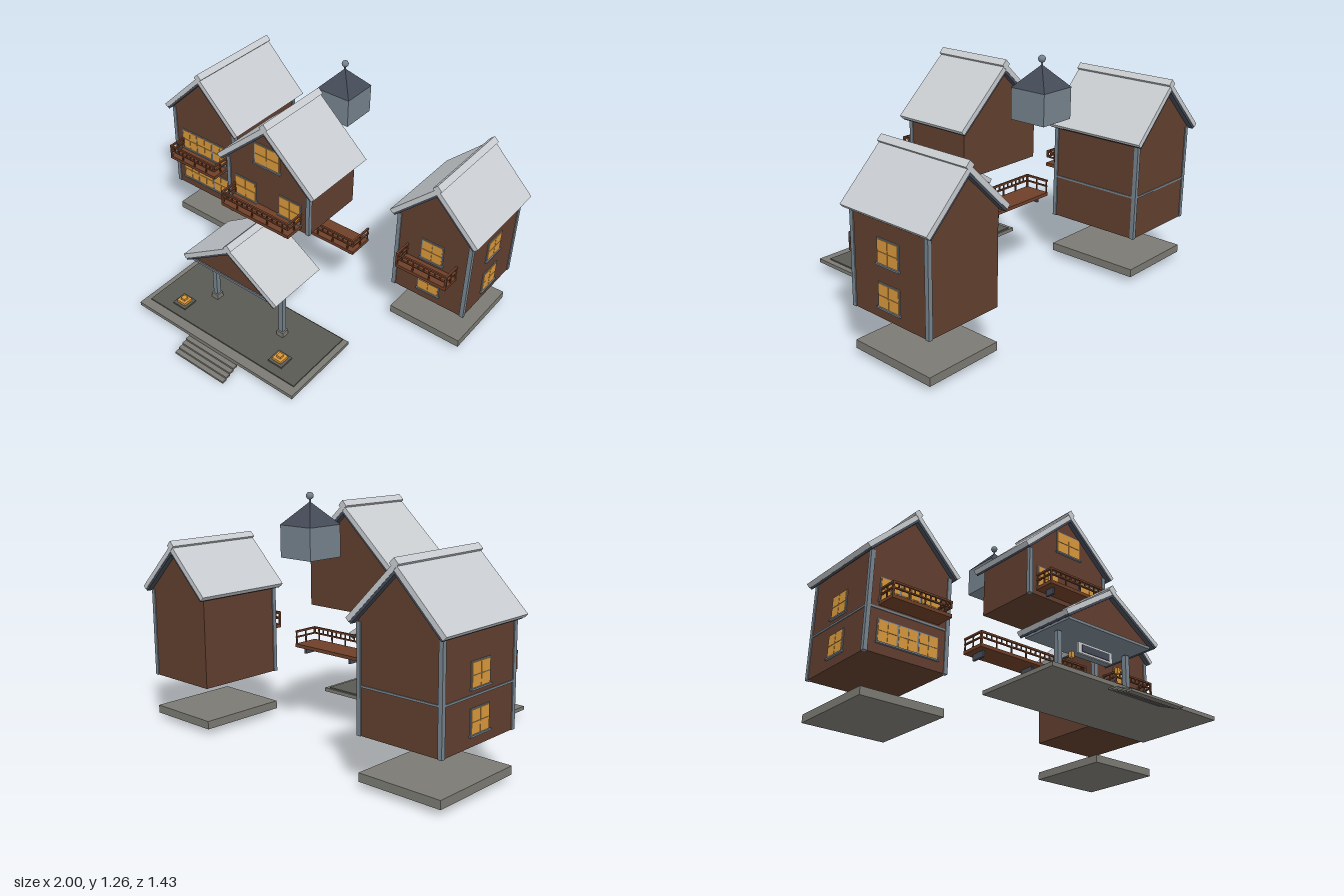
import * as THREE from 'three';

const mat = (name, color) => new THREE.MeshStandardMaterial({ name, color });
const M = {
  wall: mat('brown timber wall', 0x613f2f),
  wood: mat('balcony wood', 0x6e3f28),
  roof: mat('pale roof', 0xc9cdd1),
  trim: mat('blue grey trim', 0x76838e),
  slate: mat('dark slate', 0x444a57),
  stone: mat('stone', 0x7b7a73),
  deck: mat('dark paving', 0x595a53),
  glow: mat('amber glass', 0xd9983c),
};

function add(parent, name, geometry, material, x = 0, y = 0, z = 0) {
  const mesh = new THREE.Mesh(geometry, material);
  mesh.name = name;
  mesh.position.set(x, y, z);
  parent.add(mesh);
  return mesh;
}

// Box given by its extents
const span = (p, name, m, x0, x1, y0, y1, z0, z1) =>
  add(p, name, new THREE.BoxGeometry(x1 - x0, y1 - y0, z1 - z0), m, (x0 + x1) / 2, (y0 + y1) / 2, (z0 + z1) / 2);

function group(parent, name, x = 0, y = 0, z = 0) {
  const g = new THREE.Group();
  g.name = name;
  g.position.set(x, y, z);
  parent.add(g);
  return g;
}

// Outline in x and y, extruded from z0 to z1
function extrude(p, name, m, points, z0, z1) {
  const shape = new THREE.Shape(points.map(([x, y]) => new THREE.Vector2(x, y)));
  return add(p, name, new THREE.ExtrudeGeometry(shape, { depth: z1 - z0, bevelEnabled: false }), m, 0, 0, z0);
}

// Two-layer gable roof with a diamond ridge cap; returns the underside height at x
function gableRoof(p, ridge, dx, eave, z0, z1) {
  const a = Math.atan2(ridge - eave, dx);
  const layer = (name, m, t0, t1, inset) => {
    const tip = (t, s) => [s * (dx - t * Math.sin(a) - inset), eave - t * Math.cos(a) + inset * Math.tan(a)];
    const top = t => [0, ridge - t / Math.cos(a)];
    extrude(p, name, m, [tip(t0, 1), top(t0), tip(t0, -1), tip(t1, -1), top(t1), tip(t1, 1)], z0 + inset, z1 - inset);
  };
  layer('roofCovering', M.roof, 0, 0.024, 0);
  layer('roofUnderlay', M.slate, 0.024, 0.036, 0.002);
  add(p, 'ridgeCap', new THREE.BoxGeometry(0.036, 0.036, z1 - z0 + 0.004), M.roof, 0, ridge - 0.006, (z0 + z1) / 2).rotation.z = Math.PI / 4;
  return x => ridge - 0.035 / Math.cos(a) - Math.abs(x) * Math.tan(a);
}

// Window facing +z, two by two panes per unit, with sill
function windowUnit(p, x, y, z, w, h, units = 1, turn = 0) {
  const g = group(p, 'window', x, y, z);
  g.rotation.y = turn;
  add(g, 'windowFrame', new THREE.BoxGeometry(w, h, 0.008), M.trim);
  add(g, 'windowSill', new THREE.BoxGeometry(w + 0.012, 0.008, 0.024), M.trim, 0, -h / 2, 0);
  const uw = w / units, pw = uw / 2 - 0.007, ph = h / 2 - 0.007;
  for (let u = 0; u < units; u++)
    for (const sx of [-1, 1])
      for (const sy of [-1, 1])
        add(g, 'windowPane', new THREE.BoxGeometry(pw, ph, 0.013), M.glow,
          -w / 2 + uw * (u + 0.5) + sx * (pw / 2 + 0.0015), sy * (ph / 2 + 0.0015), 0);
}

// Balcony with rails on the front and both ends
function balcony(p, name, x0, x1, z0, z1, y, brackets = []) {
  const g = group(p, name);
  const top = y + 0.088, r = 0.005;
  span(g, 'balconyFloor', M.wood, x0, x1, y, y + 0.018, z0, z1);
  for (const [ya, yb] of [[top - 0.01, top], [top - 0.038, top - 0.031]]) {
    span(g, 'frontRail', M.wood, x0, x1, ya, yb, z1 - 2 * r, z1);
    for (const x of [x0, x1 - 2 * r]) span(g, 'endRail', M.wood, x, x + 2 * r, ya, yb, z0, z1);
  }
  const n = Math.round((x1 - x0) / 0.032);
  for (let i = 0; i <= n; i++) {
    const x = x0 + r + (x1 - x0 - 2 * r) * i / n;
    const w = i % n ? 0.003 : r;
    span(g, 'baluster', M.wood, x - w, x + w, i % 3 ? top - 0.038 : y, top, z1 - r - w, z1 - r + w);
  }
  for (const x of [x0 + r, x1 - r])
    for (const z of [z0 + r, (z0 + z1) / 2]) span(g, 'endBaluster', M.wood, x - 0.003, x + 0.003, y, top, z - 0.003, z + 0.003);
  for (const x of brackets) span(g, 'bracket', M.slate, x - 0.006, x + 0.006, y - 0.034, y, z0 + 0.03, z1 - 0.03);
}

// Gabled house block with corner posts at the listed [sideX, sideZ] corners
function house(parent, name, o) {
  const g = group(parent, name, o.x);
  const under = gableRoof(g, o.ridge, o.dx, o.eave, o.z0 - 0.032, o.z1 + 0.027);
  const { w, y0, z0, z1 } = o, yw = under(w);
  extrude(g, 'walls', M.wall, [[-w, y0], [w, y0], [w, yw], [0, under(0)], [-w, yw]], z0, z1);
  for (const [sx, sz] of o.corners) {
    const z = sz > 0 ? z1 : z0;
    add(g, 'cornerPost', new THREE.BoxGeometry(0.022, yw - y0 - 0.005, 0.022), M.trim, sx * (w - 0.006), (y0 + yw) / 2 - 0.003, z - sz * 0.006);
  }
  if (o.base) span(g, 'plinth', M.stone, -w, w, 0.03, 0.072, z0, z1);
  return g;
}

export function createModel() {
  const root = new THREE.Group();
  root.name = 'explodedLodge';

  // Large wing on the -x side
  const wingA = house(root, 'largeWing', {
    x: -0.732, w: 0.228, y0: 0.245, z0: -0.682, z1: -0.165, ridge: 1.035, dx: 0.27, eave: 0.768,
    corners: [[-1, 1], [1, 1], [-1, -1], [1, -1]], base: true,
  });
  span(wingA, 'storeyBand', M.trim, -0.232, 0.232, 0.465, 0.475, -0.686, -0.161);
  windowUnit(wingA, 0, 0.568, -0.165, 0.34, 0.125, 3);
  windowUnit(wingA, 0, 0.358, -0.165, 0.34, 0.118, 3);
  balcony(wingA, 'largeWingBalcony', -0.168, 0.168, -0.165, -0.052, 0.485);

  // Small wing on the +x side
  const wingB = house(root, 'smallWing', {
    x: 0.748, w: 0.209, y0: 0.245, z0: -0.682, z1: -0.21, ridge: 0.965, dx: 0.247, eave: 0.725,
    corners: [[1, 1], [-1, 1], [1, -1]], base: true,
  });
  balcony(wingB, 'smallWingBalcony', -0.146, 0.146, -0.21, -0.108, 0.458);
  for (const y of [0.56, 0.356]) {
    windowUnit(wingB, 0, y, -0.21, 0.124, 0.12);
    windowUnit(wingB, 0.209, y, -0.444, 0.135, 0.12, 1, Math.PI / 2);
    windowUnit(wingA, -0.228, y, -0.424, 0.135, 0.12, 1, -Math.PI / 2);
  }

  // Central upper storey
  const main = house(root, 'centralStorey', {
    x: 0, w: 0.258, y0: 0.648, z0: -0.21, z1: 0.155, ridge: 1.183, dx: 0.307, eave: 0.905,
    corners: [[-1, 1], [1, 1]],
  });
  windowUnit(main, 0, 0.998, 0.155, 0.16, 0.122);
  for (const s of [-1, 1]) windowUnit(main, s * 0.142, 0.75, 0.155, 0.136, 0.12);
  balcony(main, 'centralBalcony', -0.214, 0.214, 0.155, 0.264, 0.672, [-0.17, 0.17]);

  // Long gallery
  balcony(root, 'longGallery', -0.357, 0.357, -0.232, -0.09, 0.41, [-0.315, 0, 0.315]);

  // Roof turret
  const tower = group(root, 'turret', 0, 0, -0.462);
  span(tower, 'turretWalls', M.trim, -0.099, 0.099, 0.95, 1.105, -0.099, 0.099);
  const cone = new THREE.ConeGeometry(0.1 * Math.SQRT2, 0.108, 4).toNonIndexed();
  cone.computeVertexNormals();
  add(tower, 'turretRoof', cone, M.slate, 0, 1.158, 0).rotation.y = Math.PI / 4;
  add(tower, 'finialRod', new THREE.CylinderGeometry(0.005, 0.005, 0.04, 8), M.trim, 0, 1.215, 0);
  add(tower, 'finialBall', new THREE.SphereGeometry(0.018, 16, 12), M.trim, 0, 1.239, 0);

  // Porch roof with gable and ceiling
  const porch = group(root, 'porch');
  const under = gableRoof(porch, 0.632, 0.307, 0.43, 0.122, 0.467);
  extrude(porch, 'porchGable', M.wall, [[-0.26, 0.408], [0.26, 0.408], [0.26, under(0.26)], [0, under(0)], [-0.26, under(0.26)]], 0.145, 0.44);
  span(porch, 'porchCeiling', M.trim, -0.27, 0.27, 0.4, 0.414, 0.14, 0.446);

  // Posts, hanging lamps and ground lanterns
  for (const s of [-1, 1]) {
    span(porch, 'porchPost', M.trim, s * 0.225 - 0.013, s * 0.225 + 0.013, 0.076, 0.39, 0.308, 0.335);
    span(porch, 'postFooting', M.stone, s * 0.225 - 0.021, s * 0.225 + 0.021, 0.076, 0.108, 0.3, 0.343);
    span(porch, 'hangingLamp', M.glow, s * 0.152 - 0.01, s * 0.152 + 0.01, 0.273, 0.303, 0.325, 0.345);
    const lantern = group(porch, 'groundLantern', s * 0.33, 0, 0.468);
    span(lantern, 'lanternBase', M.deck, -0.043, 0.043, 0.076, 0.086, -0.043, 0.043);
    span(lantern, 'lanternBody', M.glow, -0.028, 0.028, 0.086, 0.1, -0.028, 0.028);
    span(lantern, 'lanternCap', M.glow, -0.013, 0.013, 0.1, 0.113, -0.013, 0.013);
  }

  // Blank hanging board
  span(porch, 'boardFrame', M.roof, -0.112, 0.112, 0.31, 0.367, 0.33, 0.342);
  span(porch, 'boardPanel', M.slate, -0.09, 0.09, 0.32, 0.356, 0.34, 0.346);

  // Terrace and steps
  span(root, 'terrace', M.stone, -0.521, 0.521, 0.05, 0.07, 0.147, 0.612);
  span(root, 'terracePaving', M.deck, -0.49, 0.49, 0.07, 0.077, 0.155, 0.56);
  for (let i = 0; i < 5; i++) {
    const z = 0.718 - i * 0.027, y = i * 0.0105;
    span(root, 'step', M.stone, -0.164, 0.164, y, y + 0.0115, z - 0.03, z);
  }
  return root;
}
